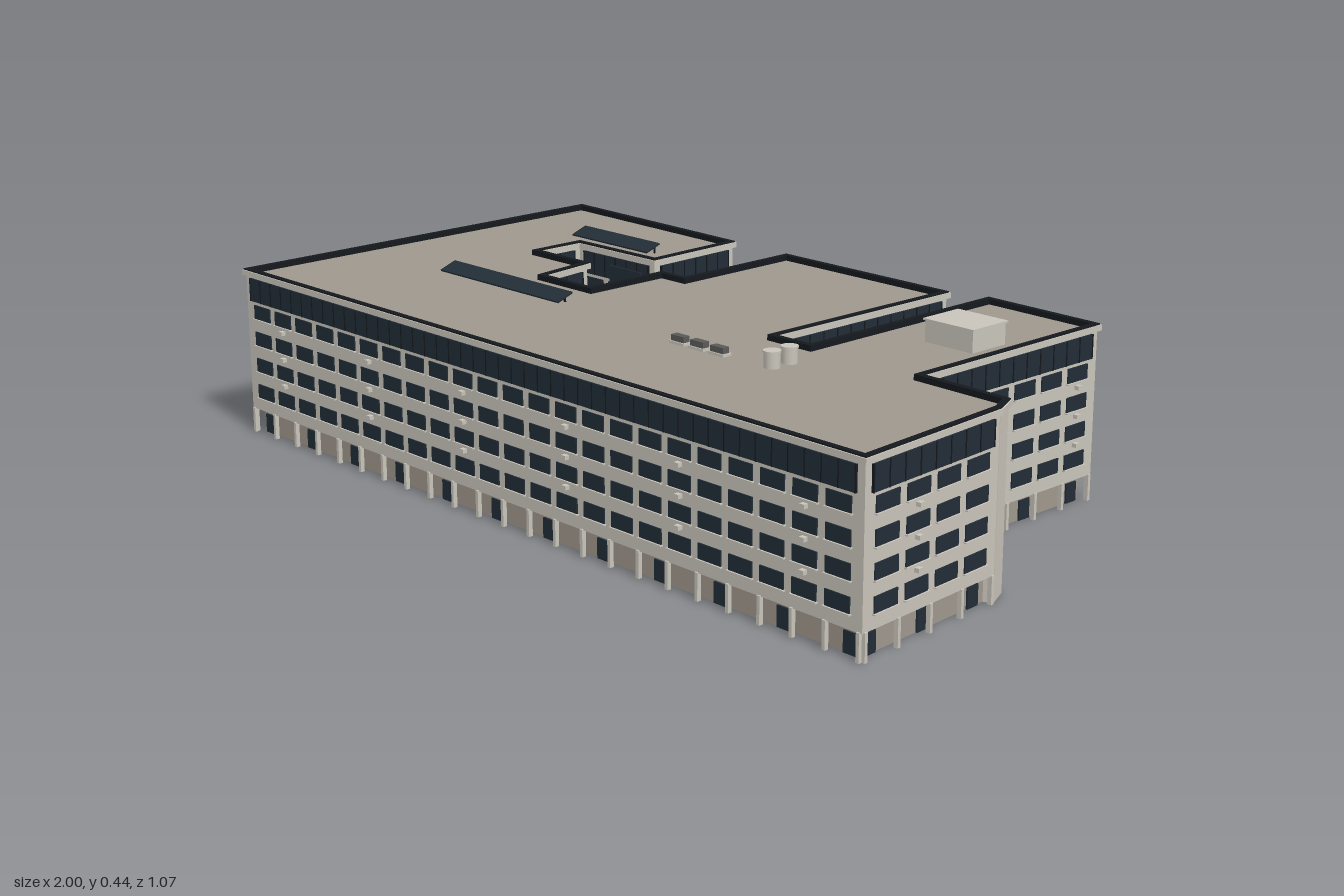
import * as THREE from 'three';
import { mergeGeometries } from 'three/addons/utils/BufferGeometryUtils.js';

const mat = (name, color) => Object.assign(new THREE.MeshStandardMaterial({ color }), { name });

// Footprint (x, z), starting at the front wall and running counter-clockwise seen from above
const OUTLINE = [
  [-0.985, 0.523], [0.99, 0.523], [0.962, 0.115], [0.937, 0.06], [0.71, 0.055], [0.71, -0.52],
  [0.402, -0.528], [0.402, 0.05], [0.295, 0.05], [0.3, -0.502], [-0.21, -0.505], [-0.207, -0.165],
  [-0.285, -0.165], [-0.285, 0.055], [-0.455, 0.055], [-0.478, -0.1], [-0.66, -0.1],
  [-0.66, -0.235], [-0.392, -0.24], [-0.402, -0.512], [-0.99, -0.528],
];

// Mitred offset of the footprint; positive grows outward
function offset(d) {
  const n = OUTLINE.length;
  return OUTLINE.map((p, i) => {
    const a = OUTLINE[(i + n - 1) % n], b = OUTLINE[(i + 1) % n];
    const u = new THREE.Vector2(p[0] - a[0], p[1] - a[1]).normalize();
    const v = new THREE.Vector2(b[0] - p[0], b[1] - p[1]).normalize();
    const n1 = new THREE.Vector2(-u.y, u.x), n2 = new THREE.Vector2(-v.y, v.x);
    const k = d / (1 + n1.dot(n2));
    return new THREE.Vector2(p[0] + (n1.x + n2.x) * k, -(p[1] + (n1.y + n2.y) * k));
  });
}

// Upright slab between two heights, optionally hollow
function slab(outer, y0, y1, inner) {
  const shape = new THREE.Shape(offset(outer));
  if (inner !== undefined) shape.holes.push(new THREE.Path(offset(inner)));
  const g = new THREE.ExtrudeGeometry(shape, { depth: y1 - y0, bevelEnabled: false });
  return g.rotateX(-Math.PI / 2).translate(0, y0, 0);
}

export function createModel() {
  const wall = mat('wall', 0xc8c4ba);
  const stone = mat('stone', 0x9f978d);
  const glass = mat('glass', 0x222d37);
  const dark = mat('darkMetal', 0x15191d);
  const vent = mat('ventGrey', 0x5a5a58);

  const model = new THREE.Group();
  model.name = 'officeBlock';
  const add = (name, geometry, material, parent = model) => {
    const m = new THREE.Mesh(geometry, material);
    m.name = name;
    parent.add(m);
    return m;
  };
  const box = (w, h, d, x, y, z) => new THREE.BoxGeometry(w, h, d).translate(x, y, z);

  // Main masses: recessed ground floor, upper floors, roof, parapet
  add('groundFloor', slab(-0.02, 0, 0.06), stone);
  add('upperFloors', slab(0, 0.058, 0.384), wall);
  add('roof', slab(-0.004, 0.384, 0.387), stone);
  add('parapet', slab(0.007, 0.384, 0.397, -0.005), wall);
  add('parapetCap', slab(0.004, 0.397, 0.4, -0.01), dark);
  add('parapetLining', slab(-0.005, 0.386, 0.398, -0.01), dark);

  // Facades: local x runs along the wall, local z points outward
  OUTLINE.forEach((a, i) => {
    const b = OUTLINE[(i + 1) % OUTLINE.length];
    const dx = b[0] - a[0], dz = b[1] - a[1], L = Math.hypot(dx, dz);
    const facade = new THREE.Group();
    facade.name = 'facade' + (i + 1);
    facade.position.set(a[0], 0, a[1]);
    facade.rotation.y = Math.atan2(-dz, dx);
    model.add(facade);

    if (L < 0.1) { // short walls stay plain down to the ground
      add('plainWall', box(L, 0.385, 0.022, L / 2, 0.1925, -0.01), wall, facade);
      return;
    }
    const parts = { windows: [], sills: [], mullions: [], columns: [], doors: [], wallUnits: [] };
    const n = Math.floor(L / 0.085), m = 0.02, step = (L - 2 * m) / n;

    // Window rows
    for (let k = 0; k < n; k++) {
      const x = m + (k + 0.5) * step, w = step * 0.75;
      for (let r = 0; r < 4; r++) {
        const y = 0.106 + r * 0.0647;
        parts.windows.push(box(w, 0.033, 0.006, x, y, 0));
        parts.sills.push(box(w + 0.006, 0.003, 0.01, x, y - 0.018, 0.002));
        if (r && k % 4 === 1) parts.wallUnits.push(box(0.013, 0.009, 0.012, x, y - 0.03, 0.005));
      }
    }
    // Glazed top storey with mullions
    parts.windows.push(box(L - 2 * m, 0.055, 0.006, L / 2, 0.3525, 0.001));
    const bars = Math.max(2, n * 2);
    for (let k = 0; k <= bars; k++)
      parts.mullions.push(box(0.0025, 0.055, 0.009, m + (k / bars) * (L - 2 * m), 0.3525, 0.001));

    // Ground floor columns and doors
    for (let k = 0; k <= n; k++)
      parts.columns.push(box(0.008, 0.06, 0.01, 0.008 + (k / n) * (L - 0.016), 0.03, -0.001));
    const span = L - 0.09, gaps = Math.round(span / 0.17);
    for (let k = 0; k <= gaps; k++) {
      const x = gaps ? 0.045 + (k / gaps) * span : L / 2;
      parts.doors.push(box(0.034, 0.045, 0.006, x, 0.0225, -0.019));
    }
    const mats = { windows: glass, sills: wall, mullions: dark, columns: wall, doors: glass, wallUnits: wall };
    for (const key in parts)
      if (parts[key].length) add(key, mergeGeometries(parts[key]), mats[key], facade);
  });

  // Roof plant room with overhanging lid
  add('plantRoom', box(0.13, 0.05, 0.106, 0.588, 0.41, -0.225), wall);
  add('plantRoomLid', box(0.138, 0.004, 0.114, 0.588, 0.437, -0.225), wall);

  // Twin round tanks
  for (const z of [0.152, 0.203]) {
    add('tank', new THREE.CylinderGeometry(0.017, 0.017, 0.036, 16).translate(0.44, 0.404, z), wall);
    add('tankLid', new THREE.CylinderGeometry(0.019, 0.019, 0.004, 16).translate(0.44, 0.422, z), wall);
  }

  // Three low roof vents
  for (const x of [0.178, 0.237, 0.297]) {
    add('roofVent', box(0.038, 0.02, 0.018, x, 0.396, 0.212), vent);
    add('roofVentRim', box(0.044, 0.006, 0.024, x, 0.39, 0.212), wall);
  }

  // Tilted roof panels, higher at the back
  for (const [x, w, z] of [[-0.602, 0.275, -0.302], [-0.452, 0.425, 0.172]]) {
    const p = add('tiltedPanel', new THREE.BoxGeometry(w, 0.004, 0.046), glass);
    p.position.set(x, 0.404, z);
    p.rotation.x = 0.35;
    for (const s of [-0.45, 0, 0.45])
      add('panelStand', box(0.004, 0.024, 0.004, x + s * w, 0.398, z - 0.017), dark);
  }

  // Courtyard glass screen and side bay
  add('courtyardScreen', box(0.11, 0.38, 0.005, -0.425, 0.19, -0.175), glass);
  add('courtyardBay', box(0.03, 0.32, 0.07, -0.222, 0.22, -0.248), wall);
  return model;
}
